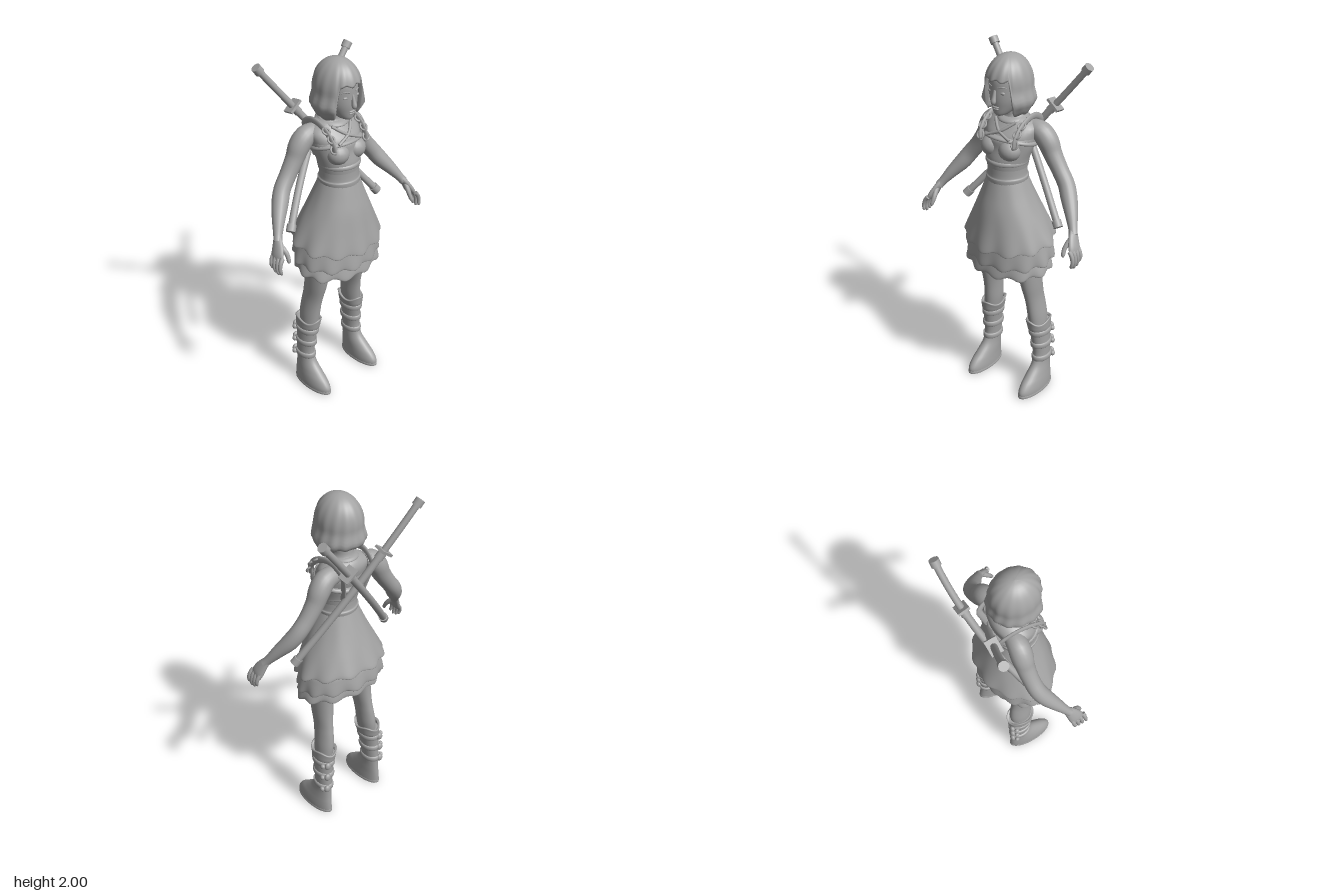
import * as THREE from 'three';

const grey = new THREE.MeshStandardMaterial({ color: 0xa3a3a3, side: THREE.DoubleSide });
grey.name = 'plain grey';

const TAU = Math.PI * 2;
const V = (x, y, z) => new THREE.Vector3(x, y, z);
const lerp = THREE.MathUtils.lerp, step = THREE.MathUtils.smoothstep;

export function createModel() {
  const model = new THREE.Group();
  model.name = 'swordswoman';

  const add = (name, geo, pos) => {
    const mesh = new THREE.Mesh(geo, grey);
    mesh.name = name;
    if (pos) mesh.position.set(...pos);
    model.add(mesh);
    return mesh;
  };

  // Skin a stack of closed rings, with optional flat ends
  function skin(rings, cap = true) {
    const pos = [], idx = [], n = rings[0].length;
    rings.forEach(r => r.forEach(p => pos.push(p.x, p.y, p.z)));
    for (let i = 0; i < rings.length - 1; i++)
      for (let j = 0; j < n; j++) {
        const a = i * n + j, b = i * n + (j + 1) % n;
        idx.push(a, b, a + n, b, b + n, a + n);
      }
    if (cap) for (const [r, flip] of [[rings[0], true], [rings[rings.length - 1], false]]) {
      const base = pos.length / 3, mid = V(0, 0, 0);
      r.forEach(p => { pos.push(p.x, p.y, p.z); mid.addScaledVector(p, 1 / n); });
      pos.push(mid.x, mid.y, mid.z);
      for (let j = 0; j < n; j++) {
        const a = base + j, b = base + (j + 1) % n;
        idx.push(...(flip ? [b, a, base + n] : [a, b, base + n]));
      }
    }
    const g = new THREE.BufferGeometry();
    g.setAttribute('position', new THREE.Float32BufferAttribute(pos, 3));
    g.setIndex(idx);
    g.computeVertexNormals();
    return g;
  }

  // Smoothly subdivide rows of numbers
  function smooth(rows, k = 4) {
    const out = [], at = i => rows[Math.max(0, Math.min(rows.length - 1, i))];
    for (let i = 0; i < rows.length - 1; i++)
      for (let s = 0; s < k; s++) {
        const t = s / k;
        out.push(rows[i].map((b, d) => {
          const a = at(i - 1)[d], c = at(i + 1)[d], e = at(i + 2)[d];
          return b + 0.5 * t * (c - a + t * (2 * a - 5 * b + 4 * c - e + t * (3 * (b - c) + e - a)));
        }));
      }
    out.push(at(rows.length - 1));
    return out;
  }

  // Upright body from rows, bottom to top: [y, half width, front z, back z, centre x]
  const loft = (rows, { n = 32, k = 4, cap = true, bend } = {}) =>
    skin(smooth(rows, k).map(([y, rx, zf, zb, cx = 0]) =>
      Array.from({ length: n }, (_, j) => {
        const a = j / n * TAU, p = V(cx + rx * Math.sin(a), y, (zf + zb) / 2 + (zf - zb) / 2 * Math.cos(a));
        if (bend) bend(p, a);
        return p;
      })), cap);

  // Tapered limb or strap along rows: [x, y, z, radius, second radius]
  function limb(rows, { n = 14, k = 4, s = 1, ref = V(0, 0, 1) } = {}) {
    const pts = smooth(rows, k), c = pts.map(p => V(p[0] * s, p[1], p[2]));
    return skin(pts.map((p, i) => {
      const T = c[Math.min(i + 1, c.length - 1)].clone().sub(c[Math.max(i - 1, 0)]).normalize();
      const A = ref.clone().cross(T).normalize(), B = T.clone().cross(A);
      return Array.from({ length: n }, (_, j) => {
        const a = j / n * TAU;
        return c[i].clone().addScaledVector(A, Math.cos(a) * p[3]).addScaledVector(B, Math.sin(a) * (p[4] ?? p[3]));
      });
    }));
  }

  const ball = (name, pos, scale) => add(name, new THREE.SphereGeometry(1, 18, 12), pos).scale.set(...scale);

  // Torso, neck and head
  add('torso', loft([[1.30, .105, .145, -.055], [1.42, .106, .145, -.06], [1.50, .13, .13, -.08], [1.57, .145, .125, -.1],
    [1.62, .145, .085, -.105], [1.655, .095, .055, -.09], [1.68, .052, .045, -.062], [1.75, .048, .05, -.055]]));
  add('head', loft([[1.693, .018, .125, .07], [1.705, .04, .135, .03], [1.74, .066, .141, -.03], [1.78, .083, .146, -.06],
    [1.83, .091, .146, -.075], [1.89, .09, .142, -.075], [1.94, .072, .115, -.05], [1.968, .03, .07, 0]]));
  add('nose', limb([[0, 1.835, .142, .008], [0, 1.80, .151, .011], [0, 1.775, .156, .014], [0, 1.766, .149, .008]], { n: 10 }));
  ball('upperLip', [0, 1.744, .14], [.022, .006, .008]);
  ball('lowerLip', [0, 1.733, .138], [.018, .007, .008]);
  for (const s of [1, -1]) {
    ball('eye', [s * .037, 1.822, .131], [.017, .008, .009]);
    add('eyebrow', limb([[.018, 1.85, .142, .003], [.04, 1.856, .136, .004], [.06, 1.85, .122, .002]], { n: 6, s, ref: V(0, 1, 0) }));
  }

  // Bobbed hair: fringe at the front, long at the sides, shorter behind
  const hairRadius = h => h < .16 ? .12 * Math.sqrt(1 - (1 - h / .16) ** 2)
    : h < .24 ? lerp(.12, .137, step(h, .16, .24)) : lerp(.137, .105, (h - .24) / .06);
  const hairRing = (w, inset) => Array.from({ length: 84 }, (_, j) => {
    let a = j / 84 * TAU;
    const side = Math.min(a, TAU - a);
    const bottom = lerp(lerp(1.885, 1.70, step(side, .68, .86)), 1.745, step(side, 1.5, 2.5))
      + .006 * Math.sin(11 * a);
    const h = (2 - bottom) * w ** 1.6;
    const r = hairRadius(h) * (1 + .022 * w * Math.sin(14 * a + 3 * w)) - inset;
    return V(r * Math.sin(a), 2 - h, .028 + r * (1.2 - h * .6) * Math.cos(a));
  });
  const hairRings = [hairRing(.8, .02), hairRing(.97, .016)];
  for (let i = 0; i <= 22; i++) hairRings.push(hairRing(1 - i / 22, 0));
  add('hair', skin(hairRings, false));

  // Bodice, bust and waistband
  add('bodice', loft([[1.40, .111, .15, -.064], [1.45, .12, .152, -.072], [1.51, .137, .14, -.088],
    [1.555, .144, .136, -.1], [1.575, .143, .122, -.1]]));
  add('neckline', loft([[1.56, .144, .135, -.1], [1.565, .15, .143, -.107], [1.575, .15, .14, -.107], [1.582, .143, .12, -.1]],
    { k: 2, bend: (p, a) => { p.y -= .035 * (1 - Math.cos(a)); } }));
  add('waistband', loft([[1.32, .112, .157, -.064], [1.345, .115, .158, -.067], [1.355, .108, .152, -.06],
    [1.415, .108, .15, -.06], [1.425, .116, .158, -.069], [1.44, .116, .158, -.069], [1.45, .11, .148, -.064]], { k: 3 }));
  for (const s of [1, -1]) ball('bust', [s * .058, 1.508, .098], [.062, .058, .06]);

  // Collar and crossed halter straps
  add('collar', loft([[1.645, .074, .072, -.078], [1.652, .08, .08, -.085], [1.664, .072, .07, -.078], [1.67, .055, .05, -.064]],
    { k: 2, bend: p => { p.y -= .12 * p.z; } }));
  for (const s of [1, -1])
    add('halterStrap', limb([[.065, 1.65, .06, .008], [.03, 1.622, .093, .008], [-.005, 1.6, .113, .008],
      [-.075, 1.572, .125, .008]], { n: 8, s }));

  // Shoulder harness with buckles
  for (const s of [1, -1]) {
    add('harnessStrap', limb([[.108, 1.535, .125, .018, .008], [.112, 1.58, .122, .018, .008], [.114, 1.63, .085, .018, .008],
      [.113, 1.665, .02, .018, .008], [.11, 1.668, -.05, .018, .008], [.1, 1.62, -.113, .018, .008],
      [.08, 1.54, -.1, .018, .008], [.06, 1.44, -.073, .018, .008]], { n: 10, s, ref: V(1, 0, 0) }));
    for (const [y, z] of [[1.56, .128], [1.61, .108], [1.645, .07]]) {
      const b = add('harnessBuckle', new THREE.TorusGeometry(.02, .006, 6, 12), [s * .113, y, z]);
      b.rotation.x = -.5 - (y - 1.56) * 5;
    }
  }

  // Three skirt tiers, rippled at the hem and lower at the front
  const tier = (name, rows, top, drop, waves, phase, amp) => add(name, loft(rows, {
    n: 120, k: 5, cap: false,
    bend: (p, a) => {
      const f = Math.min(1, Math.max(0, (top - p.y) / drop));
      const w = 1 + amp * f * f * (Math.cos(waves * a + phase) + .4 * Math.cos((waves - 4) * a + 1));
      p.x *= w;
      p.z = .03 + (p.z - .03) * w;
      p.y -= f * (.16 * (p.z - .03) + .008 * Math.cos(waves * a + phase));
    }
  }));
  tier('upperSkirt', [[1.0, .24, .22, -.165], [.982, .258, .236, -.182], [.99, .264, .242, -.188], [1.08, .224, .222, -.157], [1.18, .176, .2, -.12],
    [1.26, .14, .176, -.09], [1.335, .11, .153, -.062]], 1.33, .34, 11, .6, .03);
  tier('middleSkirt', [[.895, .245, .2, -.155], [.876, .258, .214, -.168], [.885, .265, .222, -.176], [.95, .252, .212, -.168],
    [1.01, .232, .2, -.152], [1.1, .17, .16, -.1]], 1.06, .18, 12, 2, .027);
  tier('lowerSkirt', [[.835, .24, .195, -.13], [.818, .255, .21, -.146], [.828, .262, .217, -.152], [.87, .25, .208, -.148],
    [.93, .225, .19, -.135], [1.0, .17, .16, -.1]], .97, .15, 11, 4, .027);

  // Legs and boots
  for (const s of [1, -1]) {
    const mirror = rows => rows.map(r => [...r.slice(0, 4), r[4] * s]);
    add('leg', loft(mirror([[.40, .042, .035, -.085, .168], [.48, .046, .045, -.092, .16], [.56, .043, .055, -.085, .153],
      [.62, .043, .068, -.075, .148], [.70, .05, .088, -.066, .142], [.80, .056, .104, -.062, .135],
      [.92, .066, .115, -.065, .118], [1.05, .07, .11, -.06, .1]])));
    add('boot', loft(mirror([[0, .049, .158, -.1, .189], [.012, .053, .17, -.107, .189], [.04, .053, .168, -.107, .189],
      [.075, .05, .14, -.105, .188], [.11, .046, .096, -.102, .186], [.16, .041, .042, -.1, .184], [.22, .042, .022, -.1, .182],
      [.30, .046, .028, -.1, .178], [.37, .05, .036, -.102, .173], [.43, .055, .046, -.104, .168]])));
    add('sole', loft(mirror([[0, .052, .168, -.106, .189], [.003, .055, .173, -.11, .189], [.018, .055, .173, -.11, .189],
      [.02, .05, .165, -.105, .189]]), { k: 1 }));
    add('bootCuff', loft(mirror([[.395, .052, .04, -.103, .171], [.4, .058, .048, -.108, .17], [.435, .062, .054, -.111, .167],
      [.455, .065, .058, -.114, .165], [.45, .052, .044, -.1, .166]]),
    { n: 48, k: 2, cap: false, bend: (p, a) => { if (p.y > .42) p.y += .01 * Math.cos(3 * a + .4 * s); } }));
    for (const [y, x, r, f] of [[.375, .173, .057, .043], [.29, .178, .053, .034], [.2, .183, .049, .03]]) {
      add('bootStrap', loft(mirror([[y - .018, r - .009, f - .008, -.098, x], [y - .012, r, f, -.108, x],
        [y + .012, r + .001, f + .001, -.109, x], [y + .018, r - .008, f - .007, -.099, x]]), { k: 2 }));
      const side = x + r * .45;
      ball('bootBuckle', [s * side, y, -.103], [.02, .024, .015]);
      ball('buckleStud', [s * (side + .024), y, -.085], [.013, .015, .015]);
    }
  }

  // Arms and hands
  for (const s of [1, -1]) {
    add('arm', limb([[.10, 1.60, -.04, .05], [.155, 1.59, -.043, .056], [.195, 1.545, -.047, .057], [.225, 1.485, -.048, .05],
      [.275, 1.41, -.045, .045], [.325, 1.345, -.035, .045], [.365, 1.285, -.008, .044], [.41, 1.225, .032, .034],
      [.447, 1.17, .068, .024], [.462, 1.145, .085, .024]], { n: 20, s }));
    add('palm', limb([[.452, 1.165, .072, .018, .022], [.47, 1.13, .093, .018, .034], [.488, 1.09, .11, .018, .042],
      [.5, 1.065, .118, .012, .04]], { s }));
    for (let f = 0; f < 4; f++) {
      const z = .084 + f * .023, len = [.05, .066, .07, .06][f];
      add('finger', limb([[.49, 1.085, z, .012], [.507, 1.065, z + .004, .0115], [.516, 1.065 - len * .5, z + .008, .0105],
        [.512, 1.065 - len * .9, z + .012, .009], [.508, 1.062 - len, z + .013, .004]], { n: 8, k: 3, s }));
    }
    add('thumb', limb([[.465, 1.135, .1, .015], [.455, 1.105, .13, .014], [.452, 1.08, .148, .012], [.455, 1.055, .16, .01],
      [.457, 1.046, .163, .004]], { n: 8, k: 3, s }));
  }

  // Two sheathed swords crossed on the back
  for (const [s, y, sag] of [[1, 1.925, -.1], [-1, 1.955, -.035]]) {
    const path = new THREE.QuadraticBezierCurve3(V(s * .315, y, -.223), V(0, y / 2 + .56, -.104 + sag), V(-s * .32, 1.11, .018));
    const piece = (name, from, to, r) => add(name, limb([0, 1, 2, 3, 4].map(i => {
      const p = path.getPoint(lerp(from, to, i / 4));
      return [p.x, p.y, p.z, r, r];
    }), { n: 12 }));
    piece('swordGrip', .02, .3, .018);
    piece('pommel', 0, .035, .026);
    piece('scabbard', .3, .98, .02);
    piece('scabbardThroat', .3, .34, .024);
    piece('scabbardTip', .965, 1, .026);
    const guard = add('swordGuard', new THREE.BoxGeometry(.085, .014, .065), path.getPoint(.295).toArray());
    guard.quaternion.setFromUnitVectors(V(0, 1, 0), path.getTangent(.295).negate());
  }
  return model;
}
